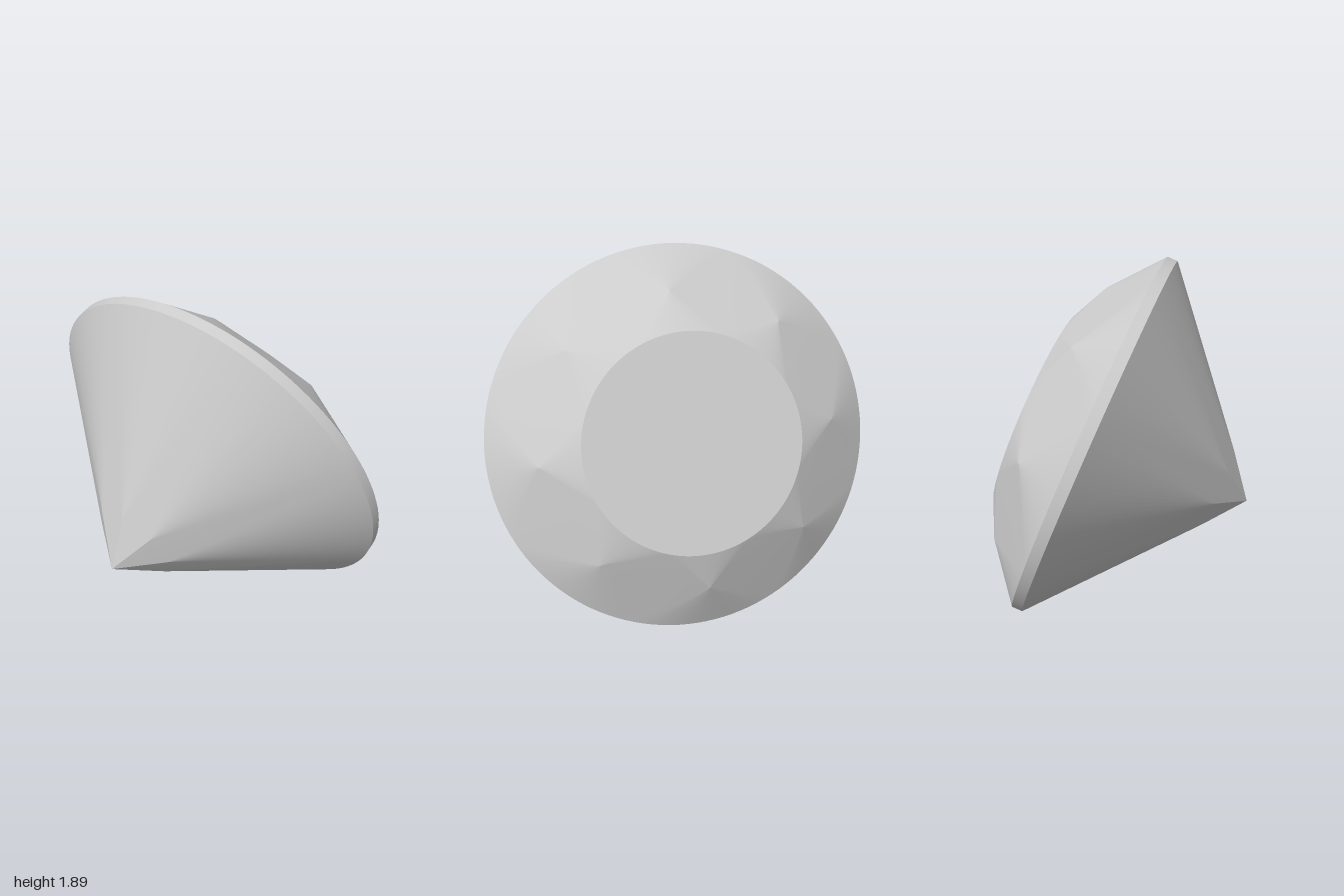
import * as THREE from 'three';
import { toCreasedNormals } from 'three/addons/utils/BufferGeometryUtils.js';

// Dimensions along the stone's own axis (y) and radii
const R = 1.01, GIRDLE = 0.055;             // girdle radius and thickness
const TABLE_R = 0.55, TABLE_H = 0.377;      // flat top
const STAR_R = 0.755, STAR_H = 0.274;       // tips of the star facets
const LOW_R = 0.23, LOW_H = -0.683;         // shoulders of the pavilion mains
const CULET_H = -0.865;                     // bottom point
const STEP = Math.PI / 8, SEG = 8;          // half a facet sector, arc segments in it

const at = (r, angle, h) => new THREE.Vector3(r * Math.cos(angle), h, r * Math.sin(angle));

// Collects triangles, turning each one to face away from the stone's centre
class Facets {
  constructor() { this.data = []; }
  tri(a, b, c) {
    const n = b.clone().sub(a).cross(c.clone().sub(a));
    const mid = a.clone().add(b).add(c);
    for (const p of n.dot(mid) < 0 ? [a, c, b] : [a, b, c]) this.data.push(p.x, p.y, p.z);
  }
  // fan from one point to a circular arc
  fan(apex, r, h, from, to) {
    const n = Math.round(Math.abs(to - from) / STEP) * SEG;
    for (let i = 0; i < n; i++) {
      const p = from + (to - from) * i / n, q = from + (to - from) * (i + 1) / n;
      this.tri(apex, at(r, p, h), at(r, q, h));
    }
  }
  mesh(name, material) {
    const g = new THREE.BufferGeometry();
    g.setAttribute('position', new THREE.Float32BufferAttribute(this.data, 3));
    const mesh = new THREE.Mesh(toCreasedNormals(g, THREE.MathUtils.degToRad(4)), material);
    mesh.name = name;
    return mesh;
  }
}

export function createModel() {
  const material = new THREE.MeshStandardMaterial({ color: 0xcccccc });
  const table = new Facets(), crown = new Facets(), girdle = new Facets(), pavilion = new Facets();

  table.fan(new THREE.Vector3(0, TABLE_H, 0), TABLE_R, TABLE_H, 0, 2 * Math.PI);

  const culet = new THREE.Vector3(0, CULET_H, 0);
  for (let k = 0; k < 8; k++) {
    const mid = k * 2 * STEP, before = mid - STEP, after = mid + STEP, next = mid + 2 * STEP;

    // crown: star facet, two upper girdle facets, one kite
    const tip = at(STAR_R, mid, STAR_H), nextTip = at(STAR_R, next, STAR_H);
    crown.fan(tip, TABLE_R, TABLE_H, before, after);
    crown.fan(tip, R, GIRDLE, before, mid);
    crown.fan(tip, R, GIRDLE, mid, after);
    crown.tri(at(TABLE_R, after, TABLE_H), tip, nextTip);
    crown.tri(at(R, after, GIRDLE), tip, nextTip);

    // pavilion: two lower girdle facets, one long kite down to the culet
    const low = at(LOW_R, mid, LOW_H), nextLow = at(LOW_R, next, LOW_H);
    pavilion.fan(low, R, 0, before, mid);
    pavilion.fan(low, R, 0, mid, after);
    pavilion.tri(at(R, after, 0), low, nextLow);
    pavilion.tri(culet, low, nextLow);

    // girdle band
    for (let i = 0; i < 2 * SEG; i++) {
      const p = before + STEP * i / SEG, q = before + STEP * (i + 1) / SEG;
      girdle.tri(at(R, p, 0), at(R, q, 0), at(R, q, GIRDLE));
      girdle.tri(at(R, p, 0), at(R, q, GIRDLE), at(R, p, GIRDLE));
    }
  }

  const stone = new THREE.Group();
  stone.name = 'gemstone';
  stone.add(
    table.mesh('table', material),
    crown.mesh('crown', material),
    girdle.mesh('girdle', material),
    pavilion.mesh('pavilion', material),
  );

  // lean the stone back so that it rests on its girdle, point to the front
  const axis = new THREE.Vector3(0.177, 0.377, -0.909).normalize();
  const side = new THREE.Vector3(-0.012, 0.924, 0.381);
  side.addScaledVector(axis, -side.dot(axis)).normalize();
  const third = side.clone().cross(axis);
  stone.quaternion.setFromRotationMatrix(new THREE.Matrix4().makeBasis(side, axis, third));
  stone.position.set(-0.005, 0.935, -0.107);

  const model = new THREE.Group();
  model.name = 'cutGem';
  model.add(stone);
  return model;
}
